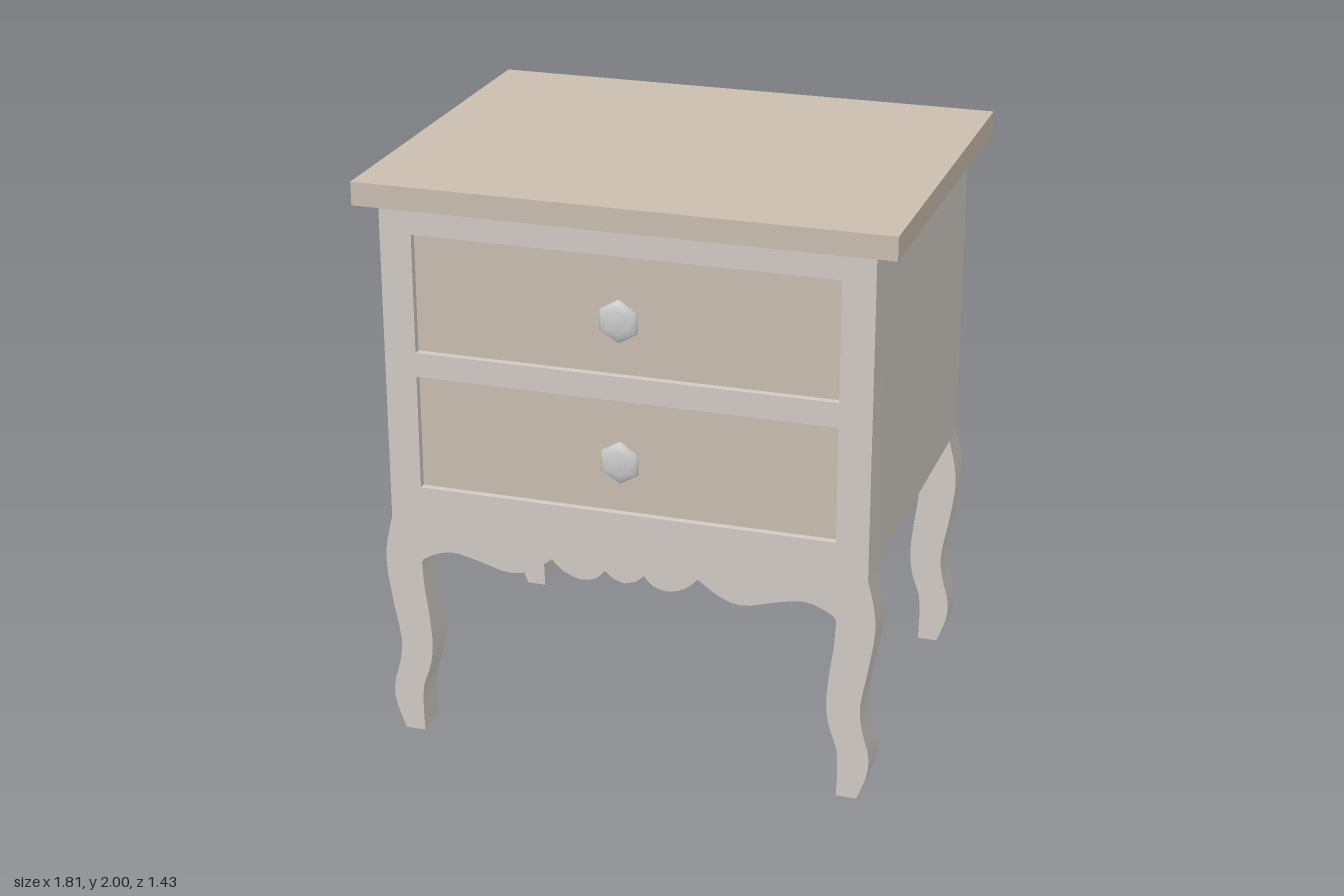
import * as THREE from 'three';
import { toCreasedNormals } from 'three/addons/utils/BufferGeometryUtils.js';

const paint = (color) => new THREE.MeshStandardMaterial({ color });
const V = (x, y) => new THREE.Vector2(x, y);

// Smooth run of points through a few control points
const curve = (pts, n = 18) => new THREE.SplineCurve(pts.map((p) => V(...p))).getPoints(n);
const mirror = (pts) => pts.map((p) => V(-p.x, p.y)).reverse();

export function createModel() {
  const group = new THREE.Group();
  const bodyMat = paint(0xd0cac4);
  const panelMat = paint(0xcabdb0);
  const knobMat = paint(0xcccccc);

  const add = (name, geometry, material, x = 0, y = 0, z = 0) => {
    const mesh = new THREE.Mesh(geometry, material);
    mesh.name = name;
    mesh.position.set(x, y, z);
    group.add(mesh);
    return mesh;
  };
  const box = (name, mat, [x0, x1], [y0, y1], [z0, z1]) =>
    add(name, new THREE.BoxGeometry(x1 - x0, y1 - y0, z1 - z0), mat,
      (x0 + x1) / 2, (y0 + y1) / 2, (z0 + z1) / 2);
  const slab = (shape, depth) => toCreasedNormals(
    new THREE.ExtrudeGeometry(shape, { depth, bevelEnabled: false }), 0.6);

  // Curved leg edges on the -x side
  const outer = curve([[-0.83, 0.81], [-0.853, 0.71], [-0.858, 0.62], [-0.838, 0.48],
    [-0.815, 0.35], [-0.823, 0.26], [-0.847, 0.17], [-0.843, 0.09], [-0.81, 0]]);
  const inner = curve([[-0.74, 0], [-0.743, 0.1], [-0.737, 0.18], [-0.71, 0.26],
    [-0.7, 0.35], [-0.709, 0.46], [-0.722, 0.56], [-0.727, 0.65]]);

  // Scalloped apron edge, from the leg to the centre
  const apron = [
    ...curve([[-0.72, 0.663], [-0.67, 0.69], [-0.61, 0.703], [-0.52, 0.685],
      [-0.41, 0.657], [-0.33, 0.678], [-0.255, 0.73]], 16),
    ...curve([[-0.255, 0.73], [-0.215, 0.692], [-0.155, 0.67], [-0.1, 0.682], [-0.068, 0.715]], 8).slice(1),
    ...curve([[-0.068, 0.715], [-0.04, 0.69], [0, 0.678]], 4).slice(1),
  ];

  // Front frame: legs, apron and rails in one board with drawer openings
  const half = [V(-0.83, 1.92), ...outer, ...inner, ...apron];
  const frame = new THREE.Shape([...half, ...mirror(half).slice(1)]);
  const drawers = [[0.93, 1.33], [1.415, 1.825]];
  for (const [y0, y1] of drawers) {
    frame.holes.push(new THREE.Path([V(-0.72, y0), V(-0.72, y1), V(0.72, y1), V(0.72, y0)]));
  }
  add('frontFrame', slab(frame, 0.115), bodyMat, 0, 0, 0.545);

  // Cabinet and top
  box('cabinet', bodyMat, [-0.83, 0.83], [0.81, 1.92], [-0.66, 0.545]);
  box('tabletop', panelMat, [-0.905, 0.905], [1.92, 2], [-0.713, 0.703]);

  // Back legs, flaring into the cabinet
  const flare = curve([[-0.72, 0.67], [-0.69, 0.725], [-0.635, 0.81]], 5);
  const leg = [...outer, ...inner, ...flare];
  add('backRightLeg', slab(new THREE.Shape(leg), 0.115), bodyMat, 0, 0, -0.66);
  add('backLeftLeg', slab(new THREE.Shape(mirror(leg)), 0.115), bodyMat, 0, 0, -0.66);

  // Recessed drawer fronts with six-sided knobs
  const knob = new THREE.LatheGeometry([[0.034, 0], [0.034, 0.03], [0.045, 0.042],
    [0.068, 0.052], [0.074, 0.064], [0.066, 0.073], [0.04, 0.081], [0, 0.083]]
    .map((p) => V(...p)), 6);
  knob.rotateX(Math.PI / 2);
  drawers.forEach(([y0, y1], i) => {
    const level = i ? 'upper' : 'lower';
    box(level + 'Drawer', panelMat, [-0.72, 0.72], [y0, y1], [0.54, 0.635]);
    add(level + 'Knob', knob, knobMat, 0, (y0 + y1) / 2, 0.63);
  });

  return group;
}
